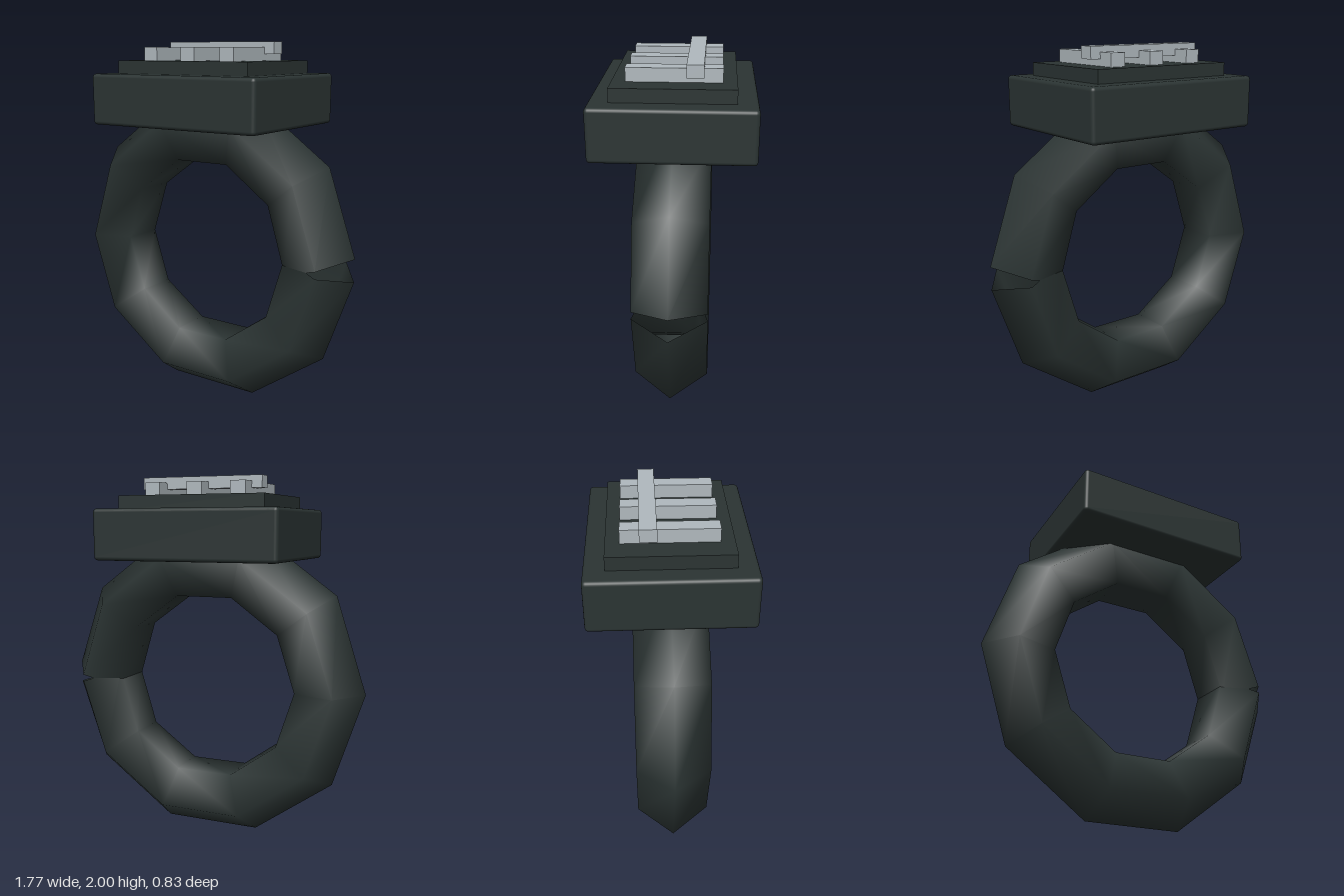
import * as THREE from 'three';
import { RoundedBoxGeometry } from 'three/addons/geometries/RoundedBoxGeometry.js';

// Ten-segment band with a pentagonal section, open where its two ends meet at +x
function bandGeometry(pathRadius, sectionRadius, segments, sides) {
  const positions = [];
  const index = [];
  const half = Math.PI / segments;
  for (let j = 0; j <= segments; j++) {
    const t = (j / segments) * Math.PI * 2;
    // the end sections stand square to their own segments, leaving a notch
    const tilt = j === 0 ? half : j === segments ? -half : 0;
    for (let k = 0; k < sides; k++) {
      const a = (k / sides) * Math.PI * 2;
      const r = sectionRadius * Math.cos(a);
      positions.push(
        pathRadius * Math.cos(t) + r * Math.cos(t + tilt),
        pathRadius * Math.sin(t) + r * Math.sin(t + tilt),
        sectionRadius * Math.sin(a)
      );
    }
  }
  // the start is turned the other way so that the outer corners part
  for (let j = 0; j < segments; j++) {
    for (let k = 0; k < sides; k++) {
      const n = (k + 1) % sides;
      const a = j * sides + k, b = a + sides;
      const c = j * sides + n, d = c + sides;
      index.push(a, b, c, b, d, c);
    }
  }
  const g = new THREE.BufferGeometry();
  g.setAttribute('position', new THREE.Float32BufferAttribute(positions, 3));
  g.setIndex(index);
  g.computeVertexNormals();
  return g;
}

export function createModel() {
  const group = new THREE.Group();
  const dark = new THREE.MeshStandardMaterial({ color: 0x2b3433, side: THREE.DoubleSide });
  dark.name = 'dark metal';
  const silver = new THREE.MeshStandardMaterial({ color: 0xb0b9be });
  silver.name = 'pale silver';

  function add(name, geometry, material, x, y, z) {
    const mesh = new THREE.Mesh(geometry, material);
    mesh.name = name;
    mesh.position.set(x, y, z);
    group.add(mesh);
  }

  // Finger band
  add('band', bandGeometry(0.69, 0.2, 10, 5), dark, 0, 0.85, 0);

  // Head block with softened edges and a stepped plate on top
  add('headBlock', new RoundedBoxGeometry(1.04, 0.275, 0.83, 3, 0.02), dark, 0, 1.6925, 0);
  add('topPlate', new THREE.BoxGeometry(0.83, 0.08, 0.62), dark, 0, 1.86, 0);

  // Three raised bars crossed by one
  for (const x of [-0.245, 0, 0.245]) {
    add('bar', new THREE.BoxGeometry(0.085, 0.075, 0.48), silver, x, 1.9325, 0);
  }
  add('crossBar', new THREE.BoxGeometry(0.69, 0.065, 0.085), silver, 0, 1.9675, -0.105);

  return group;
}
